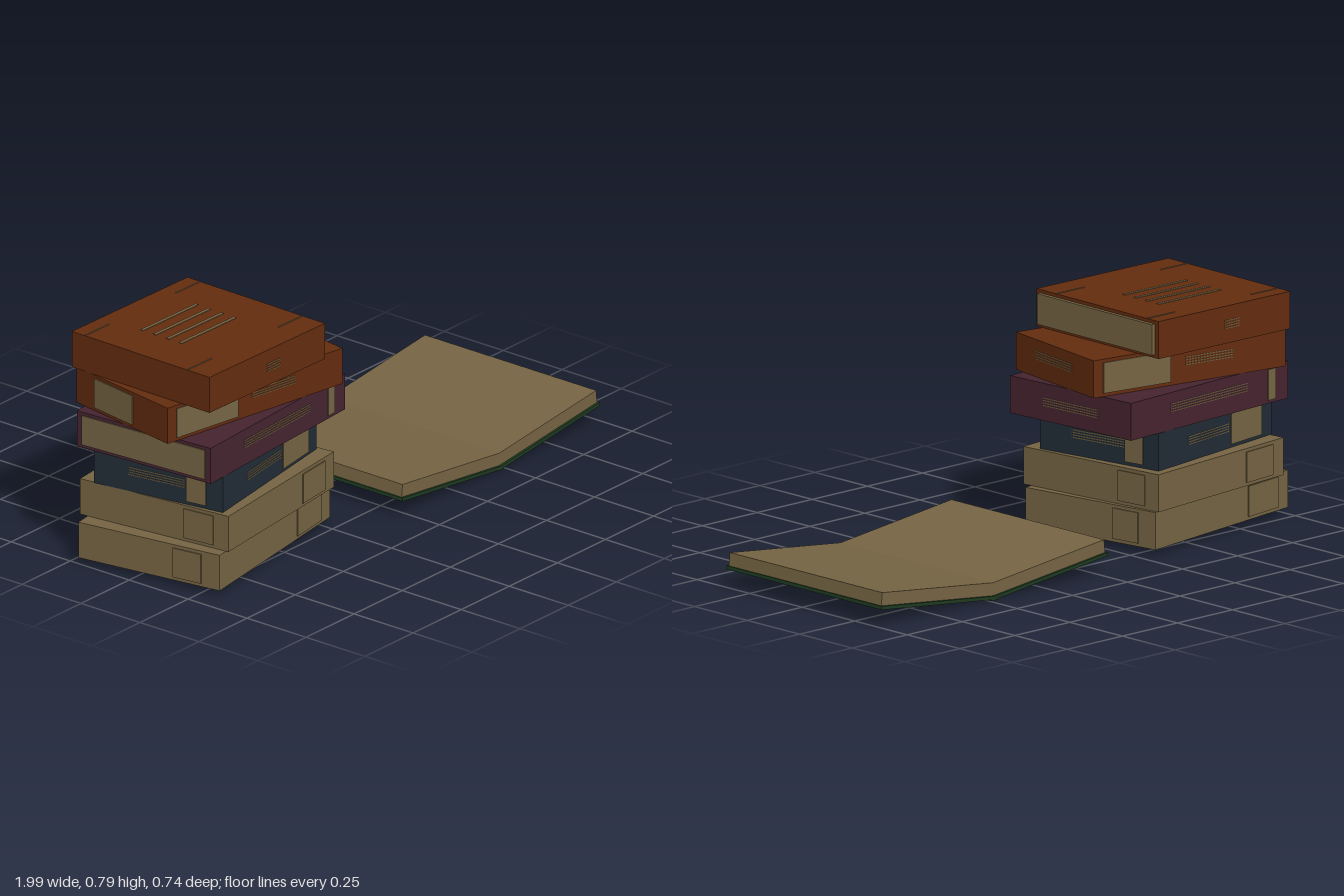
import * as THREE from 'three';

const mat = (name, color) => {
  const m = new THREE.MeshStandardMaterial({ color });
  m.name = name;
  return m;
};

export function createModel() {
  const paper = mat('paper tan', 0x756443);
  const rust = mat('rust leather', 0x632c0e);
  const plum = mat('plum leather', 0x45232f);
  const navy = mat('navy leather', 0x212c36);
  const green = mat('green leather', 0x1e3a20);

  const model = new THREE.Group();
  model.name = 'bookStackAndOpenBook';

  const box = (parent, name, material, size, pos) => {
    const mesh = new THREE.Mesh(new THREE.BoxGeometry(...size), material);
    mesh.position.set(...pos);
    mesh.name = name;
    parent.add(mesh);
    return mesh;
  };

  // A closed book. Sides run front, right, back, left; u goes 0..1 from the
  // viewer's left on each side, and plates and lines sit on that side.
  const H = 0.127;
  const closedBook = (name, cover, layer, x, w, d, degrees, plates, lines) => {
    const book = new THREE.Group();
    book.name = name;
    book.position.set(x, 0.022 + H * (layer + 0.5), 0);
    book.rotation.y = THREE.MathUtils.degToRad(degrees);
    box(book, 'cover', cover, [w, H, d], [0, 0, 0]);
    for (let i = 0; i < 4; i++) {
      const side = new THREE.Group();
      side.name = ['front', 'right', 'back', 'left'][i] + 'Side';
      side.rotation.y = i * Math.PI / 2;
      const width = i % 2 ? d : w;
      const out = (i % 2 ? w : d) / 2;
      const p = plates[i];
      if (p) {
        const t = p[2] ?? 0.004;
        box(side, 'pagePanel', paper, [(p[1] - p[0]) * width, 0.104, t],
          [((p[0] + p[1]) / 2 - 0.5) * width, 0, out + t / 2]);
      }
      const l = lines[i];
      for (let k = 0; l && k < 4; k++) {
        box(side, 'coverLine', paper, [(l[1] - l[0]) * width, 0.003, 0.002],
          [((l[0] + l[1]) / 2 - 0.5) * width, l[2] - k * 0.0085, out + 0.001]);
      }
      book.add(side);
    }
    model.add(book);
    return book;
  };

  const twice = (a, b) => [a, b, a, b];
  closedBook('bottomBook', paper, 0, -0.61, 0.71, 0.54, 8.5,
    twice([0.7, 0.92], [0.67, 0.87]), []);
  closedBook('secondBook', paper, 1, -0.595, 0.64, 0.58, 6.4,
    twice([0.7, 0.91], [0.7, 0.9]), []);
  closedBook('navyBook', navy, 2, -0.605, 0.61, 0.49, 9,
    twice([0.64, 0.91], [0.72, 0.87]),
    twice([0.26, 0.62, 0.02], [0.27, 0.71, 0.022]));
  closedBook('plumBook', plum, 3, -0.575, 0.76, 0.54, 3.7,
    [[0.87, 0.92], null, [0.87, 0.92], [0.04, 0.96]],
    [[0.25, 0.74, 0.025], [0.27, 0.73, 0.014], [0.25, 0.74, 0.025], null]);
  closedBook('rustBook', rust, 4, -0.583, 0.76, 0.457, -9.8,
    [[0.05, 0.4], null, [0.05, 0.4], [0.2, 0.62]],
    [[0.48, 0.73, 0.024], [0.25, 0.72, 0.024], [0.48, 0.73, 0.024], null]);
  const top = closedBook('topBook', rust, 5, -0.64, 0.588, 0.592, -1,
    [null, [0.03, 0.97, 0.014], null, null],
    [[0.5, 0.61, 0.014], null, [0.5, 0.61, 0.014], null]);

  // Lines and corner marks on the topmost cover
  for (let k = 0; k < 4; k++) {
    box(top, 'coverLine', paper, [0.28, 0.002, 0.012], [0, H / 2 + 0.001, -0.125 + k * 0.055]);
    box(top, 'cornerMark', paper, [0.12, 0.002, 0.004],
      [k % 2 ? 0.23 : -0.23, H / 2 + 0.001, k < 2 ? -0.24 : 0.2]);
  }

  // Open book: bent slabs, each a V-shaped section run along z
  const open = new THREE.Group();
  open.name = 'openBook';
  open.position.x = 0.479;
  const bentSlab = (name, material, half, depth, low, thick, rise) => {
    const s = new THREE.Shape();
    const lean = thick * 0.11;
    s.moveTo(-half, low + rise);
    s.lineTo(0, low);
    s.lineTo(half, low + rise);
    s.lineTo(half - lean, low + rise + thick);
    s.lineTo(0, low + thick);
    s.lineTo(-half + lean, low + rise + thick);
    const g = new THREE.ExtrudeGeometry(s, { depth, bevelEnabled: false });
    g.translate(0, 0, -depth / 2);
    const mesh = new THREE.Mesh(g, material);
    mesh.name = name;
    open.add(mesh);
  };
  bentSlab('openCover', green, 0.514, 0.742, 0.002, 0.012, 0.057);
  bentSlab('openPages', paper, 0.508, 0.726, 0.0142, 0.044, 0.0562);
  box(open, 'spine', green, [0.03, 0.01, 0.742], [0, 0.005, 0]);
  model.add(open);

  return model;
}
